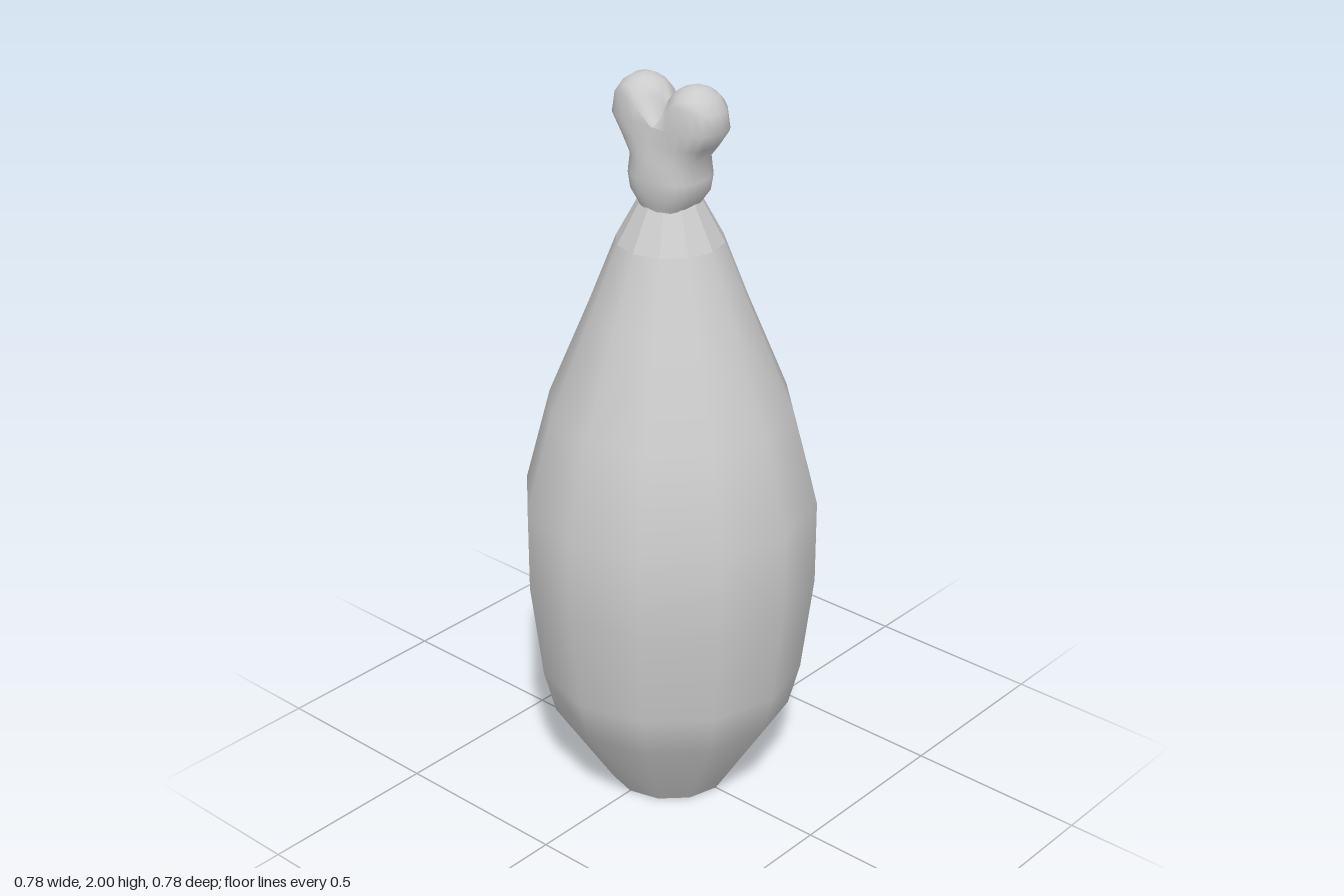
import * as THREE from 'three';

const SIDES = 12;
const material = new THREE.MeshStandardMaterial({ color: 0xcccccc });
const flatMaterial = new THREE.MeshStandardMaterial({ color: 0xcccccc, flatShading: true });

function part(name, geometry, mat = material) {
  const mesh = new THREE.Mesh(geometry, mat);
  mesh.name = name;
  return mesh;
}

// Height of the two rounded knuckles that crown the bone
function knuckleHeight(x, z) {
  const d = Math.abs(z) - 0.085;
  const depth = d < 0 ? 0.09 : 0.085;
  const k = 1 - (x / 0.09) ** 2 - (d / depth) ** 2;
  return 1.89 + 0.11 * Math.sqrt(Math.max(0, k));
}

// Point on a rounded-oval cross-section
function oval(theta, rx, rz, waist) {
  const s = Math.sin(theta), c = Math.cos(theta);
  const x = Math.sign(s) * Math.abs(s) ** 0.8 * rx * (1 - waist * (1 - Math.abs(c)) ** 2);
  const z = Math.sign(c) * Math.abs(c) ** 0.85 * rz;
  return [x, z];
}

// Closed surface: neck rings rising to a crown that shrinks to its middle
function boneGeometry() {
  const n = 24;
  // y, half width, half depth, pinch between the knuckles
  const neck = [
    [1.66, 0.07, 0.06, 0], [1.69, 0.08, 0.075, 0], [1.72, 0.09, 0.098, 0],
    [1.76, 0.093, 0.106, 0], [1.81, 0.088, 0.1, 0], [1.85, 0.086, 0.135, 0.08],
    [1.895, 0.088, 0.168, 0.15],
  ];
  const crown = [0.95, 0.82, 0.66, 0.48, 0.3, 0.15];
  const pos = [], index = [];
  for (const [y, rx, rz, waist] of neck) {
    for (let j = 0; j < n; j++) {
      const [x, z] = oval((j / n) * Math.PI * 2, rx, rz, waist);
      pos.push(x, y, z);
    }
  }
  for (const t of crown) {
    for (let j = 0; j < n; j++) {
      const [x, z] = oval((j / n) * Math.PI * 2, 0.088 * t, 0.168 * t, 0.15);
      pos.push(x, knuckleHeight(x, z), z);
    }
  }
  const rings = neck.length + crown.length;
  for (let i = 0; i < rings - 1; i++) {
    for (let j = 0; j < n; j++) {
      const a = i * n + j, b = i * n + ((j + 1) % n);
      index.push(a, b, a + n, b, b + n, a + n);
    }
  }
  // Middle of the crown
  const tip = rings * n;
  pos.push(0, knuckleHeight(0, 0), 0);
  for (let j = 0; j < n; j++) index.push(tip - n + j, tip - n + ((j + 1) % n), tip);

  const geometry = new THREE.BufferGeometry();
  geometry.setAttribute('position', new THREE.Float32BufferAttribute(pos, 3));
  geometry.setIndex(index);
  geometry.computeVertexNormals();
  return geometry;
}

export function createModel() {
  const group = new THREE.Group();
  group.name = 'drumstick';

  // Plump meat, smooth around twelve sides
  const profile = [
    [0.167, 0], [0.327, 0.25], [0.358, 0.37], [0.39, 0.64], [0.39, 0.87],
    [0.322, 1.13], [0.21, 1.4], [0.14, 1.58],
  ].map(([r, y]) => new THREE.Vector2(r, y));
  group.add(part('meat', new THREE.LatheGeometry(profile, SIDES)));

  // Flat cut end
  const base = part('base', new THREE.CircleGeometry(0.167, SIDES));
  base.rotation.x = Math.PI / 2;
  group.add(base);

  // Faceted collar where the meat meets the bone
  const collar = part('collar', new THREE.CylinderGeometry(0.075, 0.14, 0.12, SIDES, 1, true), flatMaterial);
  collar.position.y = 1.64;
  group.add(collar);

  // Bone end with two knuckles
  const bone = part('bone', boneGeometry());
  bone.position.set(-0.005, 0, 0.005);
  group.add(bone);

  return group;
}
